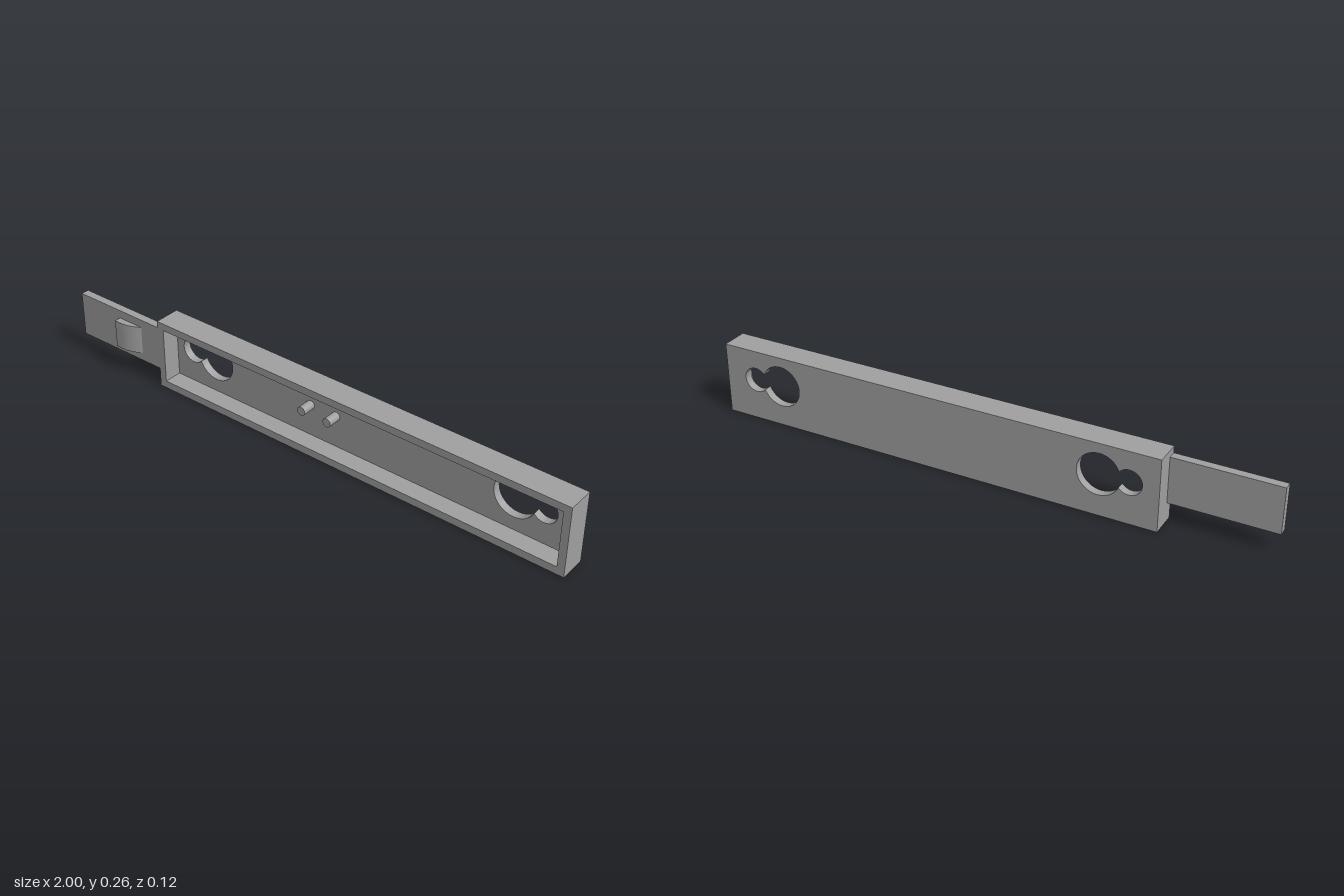
import * as THREE from 'three';
import { toCreasedNormals } from 'three/addons/utils/BufferGeometryUtils.js';

const grey = new THREE.MeshStandardMaterial({ color: 0xa0a0a0 });
grey.name = 'grey';

// Casing extents
const X0 = -0.63, X1 = 1, H = 0.26, BACK = -0.06, FLOOR = -0.03, FRONT = 0.037;

function rectPoints(x0, y0, x1, y1) {
  return [[x0, y0], [x1, y0], [x1, y1], [x0, y1]].map(([x, y]) => new THREE.Vector2(x, y));
}

// Outline of two overlapping circles; side is the direction of the small one
function keyhole(cx, cy, side) {
  const R = 0.075, r = 0.045, d = 0.104;
  const ix = (d * d + R * R - r * r) / (2 * d);
  const iy = Math.sqrt(R * R - ix * ix);
  const a = Math.atan2(iy, ix), b = Math.atan2(iy, ix - d);
  const points = [];
  const arc = (ox, radius, from, to, n) => {
    for (let i = 0; i < n; i++) {
      const t = from + (to - from) * i / n;
      points.push(new THREE.Vector2(cx + side * (ox + radius * Math.cos(t)), cy + radius * Math.sin(t)));
    }
  };
  arc(0, R, a, Math.PI * 2 - a, 48);
  arc(d, r, -b, b, 32);
  return new THREE.Path(points);
}

function extrude(shape, depth) {
  const geo = new THREE.ExtrudeGeometry(shape, { depth, bevelEnabled: false, curveSegments: 16 });
  return toCreasedNormals(geo, 0.5);
}

export function createModel() {
  const group = new THREE.Group();
  const add = (name, geo, x = 0, y = 0, z = 0) => {
    const mesh = new THREE.Mesh(geo, grey);
    mesh.name = name;
    mesh.position.set(x, y, z);
    group.add(mesh);
    return mesh;
  };

  // Back plate with a keyhole near each end
  const plate = new THREE.Shape(rectPoints(X0, 0, X1, H));
  plate.holes.push(keyhole(-0.424, 0.15, -1), keyhole(0.775, 0.15, 1));
  add('backPlate', extrude(plate, FLOOR - BACK), 0, 0, BACK);

  // Raised rim around the open front
  const rim = new THREE.Shape(rectPoints(X0, 0, X1, H));
  rim.holes.push(new THREE.Path(rectPoints(X0 + 0.027, 0.028, X1 - 0.027, H - 0.027)));
  add('rim', extrude(rim, FRONT - FLOOR), 0, 0, FLOOR);

  // Two pins on the floor of the casing
  for (const x of [-0.01, 0.095]) {
    const pin = new THREE.CylinderGeometry(0.016, 0.016, 0.05, 24).rotateX(Math.PI / 2);
    add('pin', pin, x, 0.147, FLOOR + 0.025);
  }

  // Flat tongue at the end, flush with the front
  add('tongue', new THREE.BoxGeometry(0.37, 0.165, 0.03), -0.815, 0.153, FRONT - 0.015);

  // Snap catch with a sloped, rounded lead-in, drawn in x-z and extruded down y
  const profile = new THREE.Shape();
  profile.moveTo(-0.813, FRONT - 0.005);
  profile.lineTo(-0.71, FRONT - 0.005);
  profile.lineTo(-0.71, FRONT);
  profile.quadraticCurveTo(-0.748, 0.06, -0.785, 0.061);
  profile.lineTo(-0.813, 0.061);
  profile.closePath();
  add('catch', extrude(profile, 0.104).rotateX(Math.PI / 2), 0, 0.205, 0);

  return group;
}
